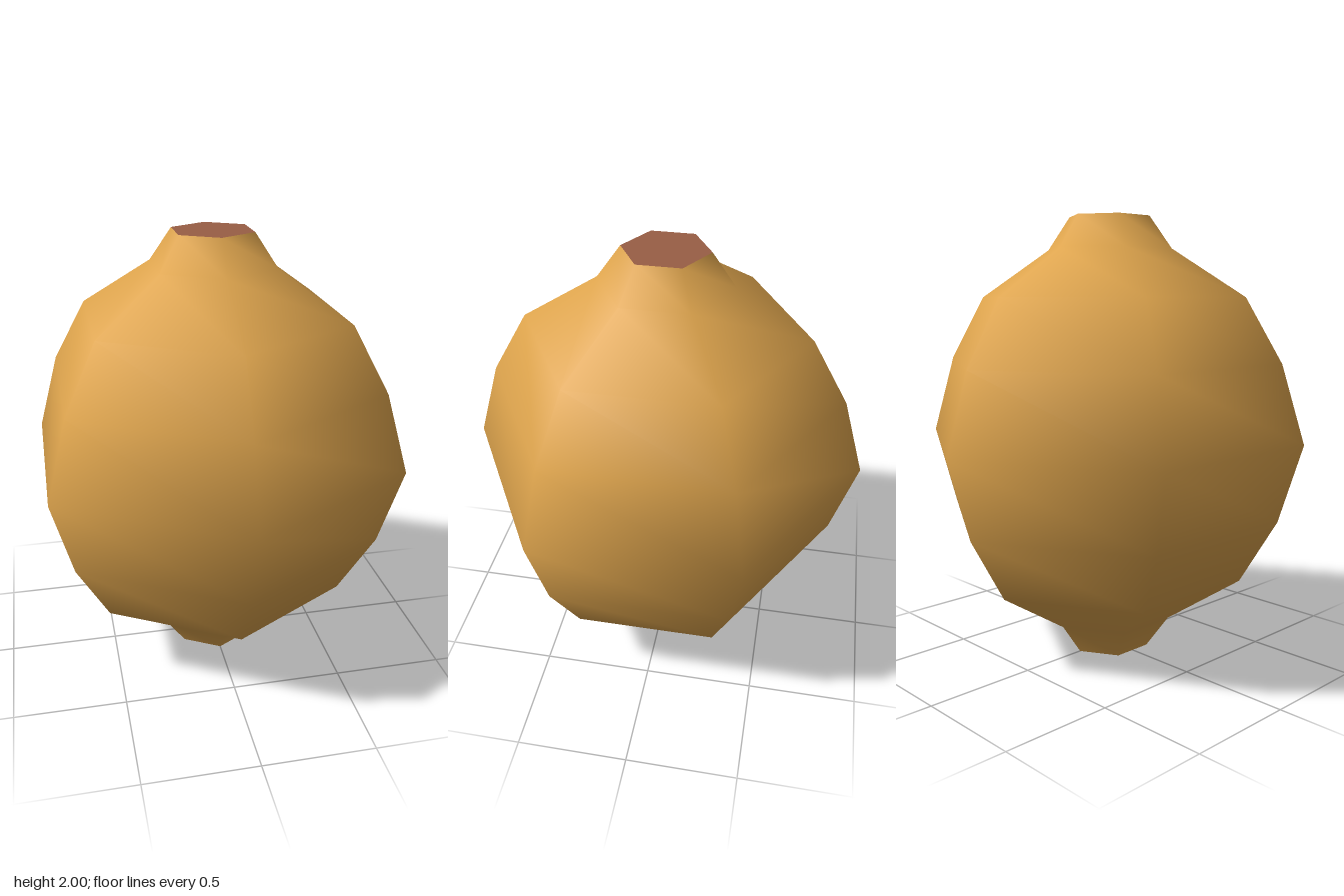
import * as THREE from 'three';

export function createModel() {
  const group = new THREE.Group();
  const skin = new THREE.MeshStandardMaterial({ name: 'amber skin', color: 0xdfa54d });
  const end = new THREE.MeshStandardMaterial({ name: 'brown end', color: 0x985e45 });

  // Six-sided body, symmetric about mid-height, with smooth normals
  const half = [[0.187, 0], [0.29, 0.145], [0.622, 0.358], [0.787, 0.646]];
  const profile = [
    ...half,
    [0.892, 1],
    ...half.map(([r, y]) => [r, 2 - y]).reverse(),
  ].map(([r, y]) => new THREE.Vector2(r, y));
  const body = new THREE.Mesh(new THREE.LatheGeometry(profile, 6), skin);
  body.name = 'body';
  group.add(body);

  // Flat hexagonal caps closing both necks
  for (const [name, y, side] of [['topCap', 2, 1], ['bottomCap', 0, -1]]) {
    const cap = new THREE.Mesh(new THREE.CircleGeometry(0.187, 6, Math.PI / 2), end);
    cap.name = name;
    cap.rotation.x = -side * Math.PI / 2;
    cap.position.y = y;
    group.add(cap);
  }
  return group;
}
